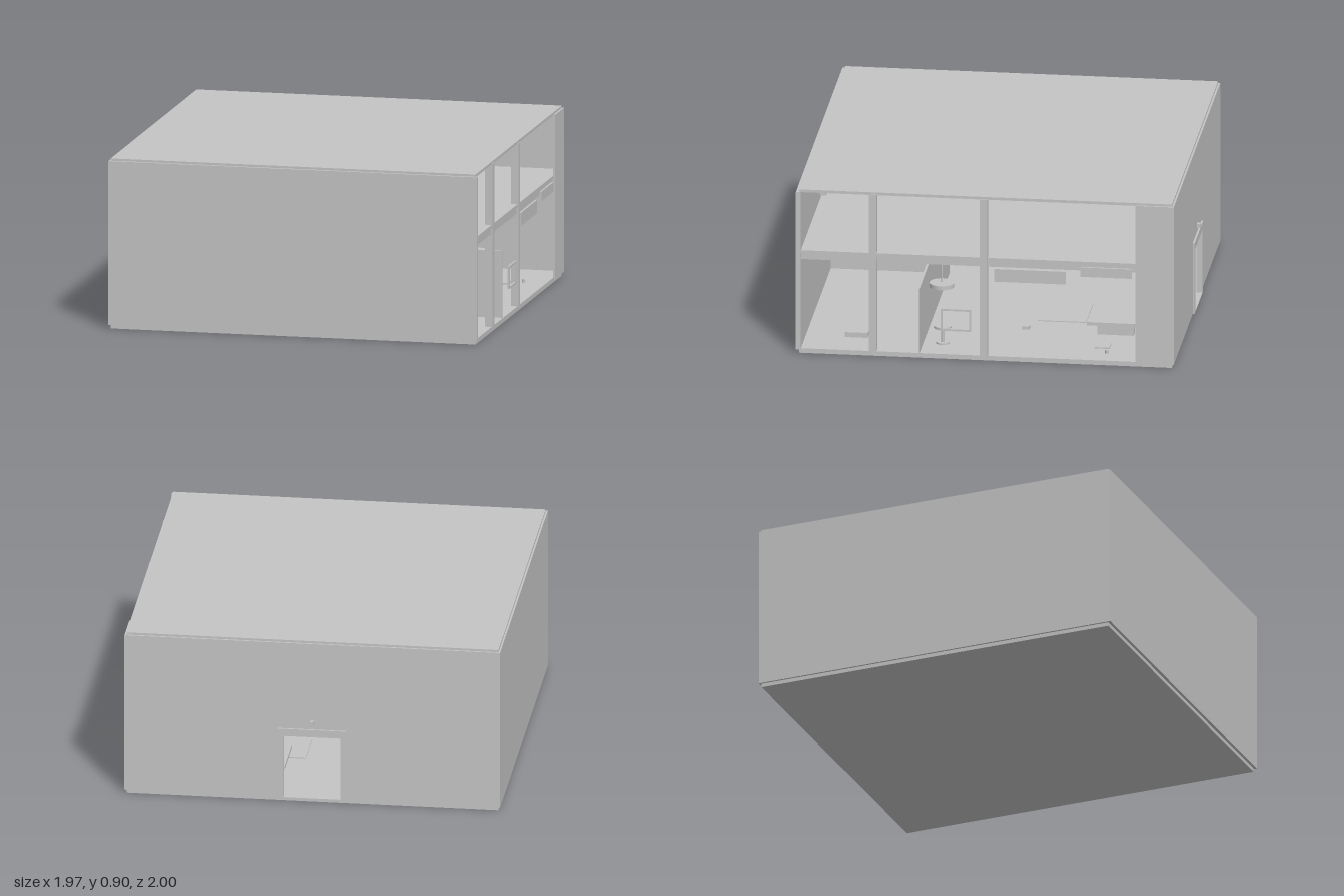
import * as THREE from 'three';

export function createModel() {
  const root = new THREE.Group();
  const grey = new THREE.MeshStandardMaterial({ color: 0xc4c4c4 });
  grey.name = 'plain grey';

  const add = (name, geometry, x = 0, y = 0, z = 0, parent = root) => {
    const mesh = new THREE.Mesh(geometry, grey);
    mesh.name = name;
    mesh.position.set(x, y, z);
    parent.add(mesh);
    return mesh;
  };
  // box given by its lower and upper limits on each axis
  const box = (name, x0, x1, y0, y1, z0, z1, parent) =>
    add(name, new THREE.BoxGeometry(x1 - x0, y1 - y0, z1 - z0),
      (x0 + x1) / 2, (y0 + y1) / 2, (z0 + z1) / 2, parent);
  const disc = (name, r, h, x, y, z, parent) =>
    add(name, new THREE.CylinderGeometry(r, r, h, 24), x, y, z, parent);

  // wall or frame in the xy plane, with a rectangular opening
  const pierced = (name, [x0, x1, y0, y1], [a0, a1, b0, b1], z, depth) => {
    const rect = (T, l, r, b, t) => {
      const s = new T();
      s.moveTo(l, b);
      s.lineTo(r, b);
      s.lineTo(r, t);
      s.lineTo(l, t);
      s.closePath();
      return s;
    };
    const shape = rect(THREE.Shape, x0, x1, y0, y1);
    shape.holes.push(rect(THREE.Path, a0, a1, b0, b1));
    return add(name, new THREE.ExtrudeGeometry(shape, { depth, bevelEnabled: false }), 0, 0, z);
  };

  // shell
  box('floor', -0.975, 0.975, 0, 0.025, -0.97, 0.985);
  box('roof', -0.975, 0.975, 0.885, 0.9, -0.97, 0.985);
  box('frontWall', -0.985, 0.985, 0.02, 0.888, 0.975, 1);
  box('leftWall', -0.985, -0.972, 0.02, 0.888, -0.975, 0.99);
  box('windowSidePanel', 0.972, 0.985, 0.02, 0.888, -0.98, -0.78);
  pierced('backWall', [-0.985, 0.985, 0.02, 0.888], [-0.15, 0.15, 0.025, 0.37], -0.98, 0.015);
  pierced('doorFrame', [-0.18, 0.18, 0.02, 0.41], [-0.15, 0.15, 0.025, 0.37], -0.99, 0.03);
  box('doorLamp', -0.01, 0.01, 0.435, 0.458, -1, -0.98);

  // upper floor and open window side
  box('upperFloor', -0.972, 0.975, 0.55, 0.565, -0.965, 0.975);
  box('windowBeam', 0.93, 0.97, 0.515, 0.55, -0.78, 0.975);
  for (const z of [0.6, 0.015]) box('mullion', 0.94, 0.98, 0.02, 0.888, z - 0.02, z + 0.02);
  box('cornice', -0.972, -0.955, 0.85, 0.885, -0.965, 0.975);
  box('wallColumn', -0.972, -0.93, 0.02, 0.85, -0.595, -0.55);
  box('longSign', 0.965, 0.975, 0.435, 0.505, -0.41, -0.04);
  box('shortSign', 0.97, 0.98, 0.483, 0.535, -0.76, -0.49);

  // hollow sign hanging in the window
  const sign = new THREE.Group();
  sign.name = 'windowFrameSign';
  root.add(sign);
  for (const y of [0.16, 0.27]) box('signRail', 0.97, 0.98, y - 0.005, y + 0.005, 0.08, 0.24, sign);
  for (const z of [0.085, 0.235]) box('signStile', 0.97, 0.98, 0.155, 0.275, z - 0.005, z + 0.005, sign);

  // small enclosed room in the front corner
  box('crossPartition', -0.3, 0.97, 0.025, 0.38, 0.35, 0.362);
  box('longPartition', -0.3, -0.288, 0.025, 0.375, 0.36, 0.975);
  box('lowShelf', 0.8, 0.9, 0.07, 0.097, 0.635, 0.755);

  // security camera and ceiling light
  box('cameraBody', 0.86, 0.892, 0.842, 0.868, 0.853, 0.887);
  box('cameraMount', 0.872, 0.88, 0.868, 0.886, 0.865, 0.873);
  box('ceilingLight', 0.4, 0.5, 0.838, 0.848, -0.04, 0.07);
  box('ceilingLightStem', 0.445, 0.455, 0.848, 0.886, 0.01, 0.02);

  // pendant lamp over a round table
  disc('pendantShade', 0.065, 0.022, 0.8, 0.347, 0.255);
  disc('pendantRod', 0.004, 0.19, 0.8, 0.455, 0.255);
  disc('tableTop', 0.045, 0.012, 0.8, 0.115, 0.25);
  disc('tablePost', 0.01, 0.085, 0.8, 0.067, 0.25);
  disc('tableFoot', 0.035, 0.008, 0.8, 0.029, 0.25);

  // long table near the back door
  const table = new THREE.Group();
  table.name = 'longTable';
  root.add(table);
  box('longTableTop', 0.17, 0.62, 0.09, 0.108, -0.77, -0.48, table);
  box('longTableApron', 0.2, 0.59, 0.08, 0.092, -0.75, -0.5, table);
  for (const x of [0.24, 0.55]) box('longTableLeg', x - 0.02, x + 0.02, 0.025, 0.09, -0.72, -0.53, table);
  box('tableScreen', 0.3, 0.46, 0.108, 0.24, -0.76, -0.752, table);

  // cupboard against the far wall
  box('cupboardTop', -0.93, -0.76, 0.35, 0.36, -0.775, -0.445);
  box('cupboardBack', -0.93, -0.92, 0.08, 0.35, -0.77, -0.45);
  box('cupboardBase', -0.93, -0.77, 0.08, 0.095, -0.77, -0.45);
  for (const z of [-0.455, -0.51, -0.565, -0.63, -0.69, -0.765]) {
    box('cupboardDivider', -0.92, -0.77, 0.095, 0.35, z - 0.004, z + 0.004);
  }

  // small things on the floor
  box('floorMat', 0.1, 0.4, 0.025, 0.03, -0.45, -0.2);
  box('floorTile', 0.72, 0.79, 0.025, 0.032, -0.62, -0.54);
  box('smallBox', 0.5, 0.54, 0.025, 0.042, -0.17, -0.13);
  disc('smallCup', 0.01, 0.018, 0.856, 0.034, -0.615);

  return root;
}
